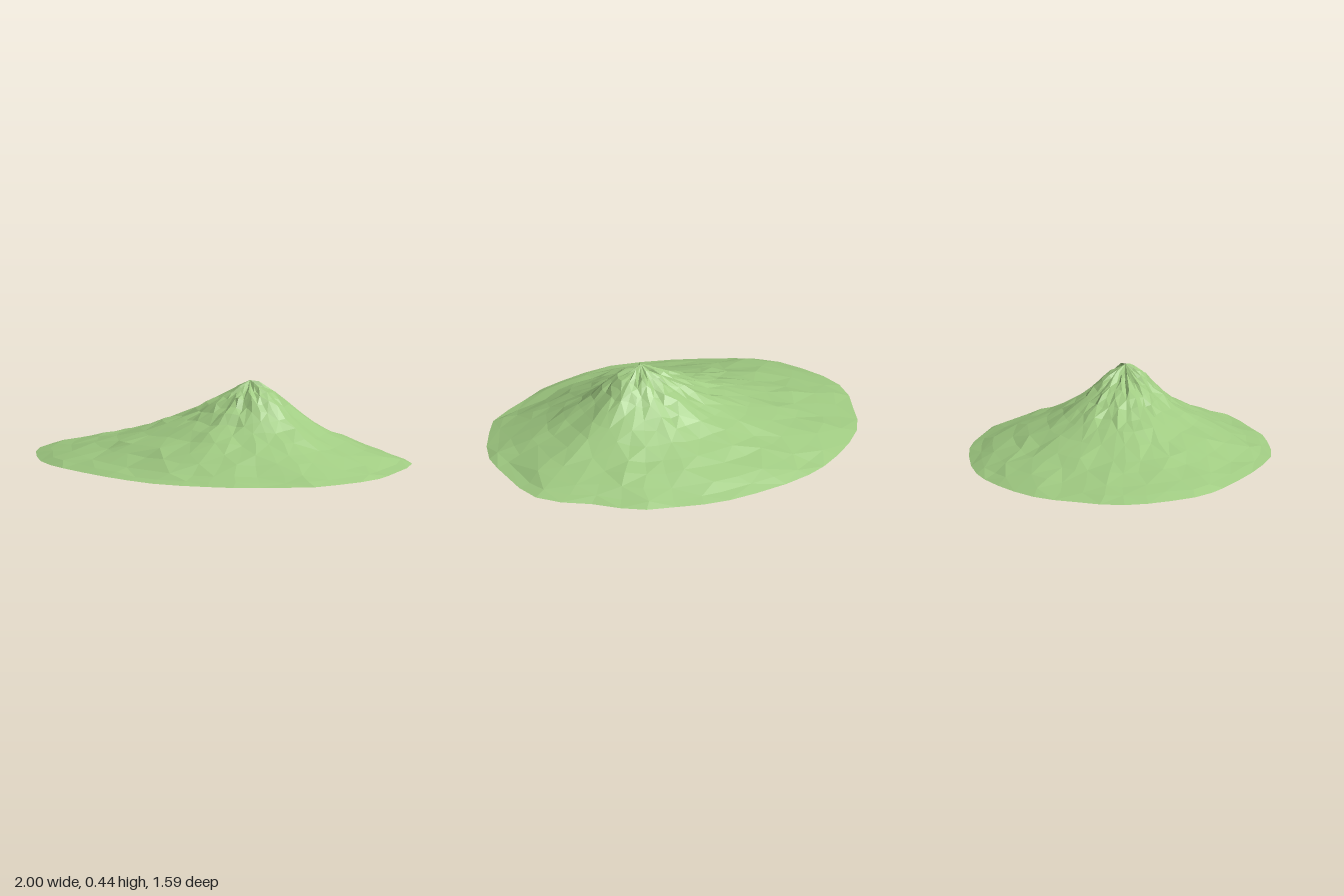
import * as THREE from 'three';

// Ground outline as x, z pairs, running from +x towards +z
const RIM = [
  [1, 0], [1, 0.11], [0.96, 0.24], [0.89, 0.37], [0.82, 0.48], [0.7, 0.56], [0.57, 0.63], [0.45, 0.7],
  [0.32, 0.74], [0.17, 0.775], [0.02, 0.79], [-0.14, 0.765], [-0.3, 0.725], [-0.46, 0.67], [-0.61, 0.61],
  [-0.71, 0.56], [-0.81, 0.48], [-0.89, 0.37], [-0.96, 0.25], [-1, 0.13], [-1, 0], [-0.97, -0.12],
  [-0.94, -0.25], [-0.89, -0.36], [-0.8, -0.47], [-0.69, -0.57], [-0.58, -0.65], [-0.47, -0.705],
  [-0.32, -0.75], [-0.14, -0.78], [0.02, -0.795], [0.16, -0.785], [0.3, -0.755], [0.46, -0.72],
  [0.58, -0.65], [0.7, -0.55], [0.84, -0.47], [0.94, -0.37], [0.98, -0.24],
];
const PEAK = { x: 0.18, y: 0.44, z: 0.01 };

// Fraction of the way from peak to rim, and the slope heights along the four axes
const STEPS = [0.05, 0.1, 0.15, 0.2, 0.25, 0.32, 0.4, 0.5, 0.62, 0.72, 0.84, 0.93, 1];
const SLOPES = {
  right: [0.43, 0.415, 0.4, 0.37, 0.33, 0.275, 0.225, 0.175, 0.125, 0.09, 0.05, 0.02, 0],
  front: [0.42, 0.39, 0.365, 0.32, 0.29, 0.24, 0.205, 0.165, 0.125, 0.085, 0.037, 0.015, 0],
  left: [0.41, 0.375, 0.345, 0.32, 0.28, 0.24, 0.208, 0.16, 0.115, 0.085, 0.05, 0.025, 0],
  back: [0.425, 0.395, 0.365, 0.33, 0.29, 0.25, 0.215, 0.17, 0.125, 0.095, 0.055, 0.025, 0],
};

function seeded(seed) {
  return () => {
    seed = (seed * 16807) % 2147483647;
    return seed / 2147483647 - 0.5;
  };
}

function hillGeometry() {
  const random = seeded(71);
  const n = RIM.length;
  const positions = [PEAK.x, PEAK.y, PEAK.z];
  const indices = [];

  // Rings of vertices, blended between the slopes and slightly roughened
  STEPS.forEach((t, ring) => {
    RIM.forEach(([rx, rz], i) => {
      const dx = rx - PEAK.x, dz = rz - PEAK.z;
      const c = dx / Math.hypot(dx, dz);
      const alongX = (dx > 0 ? SLOPES.right : SLOPES.left)[ring];
      const alongZ = (dz > 0 ? SLOPES.front : SLOPES.back)[ring];
      const rough = t < 1 ? 1 : 0;
      const s = t + rough * random() * 0.022;
      const twist = rough * random() * 0.05;
      const gullies = 1 - 0.02 * rough * (1 + Math.sin(i * 1.7 + ring * 0.3));
      const y = (alongX * c * c + alongZ * (1 - c * c)) * gullies + rough * random() * 0.012;
      positions.push(PEAK.x + dx * s - dz * twist * t, y, PEAK.z + dz * s + dx * twist * t);
    });
  });

  // Cap fan, then quads with alternating diagonals
  for (let i = 0; i < n; i++) {
    const j = (i + 1) % n;
    indices.push(0, 1 + j, 1 + i);
    for (let r = 0; r < STEPS.length - 1; r++) {
      const a = 1 + r * n + i, b = 1 + r * n + j;
      const c = a + n, d = b + n;
      if ((i + r) % 2) indices.push(a, b, c, b, d, c);
      else indices.push(a, d, c, a, b, d);
    }
  }

  const geometry = new THREE.BufferGeometry();
  geometry.setAttribute('position', new THREE.Float32BufferAttribute(positions, 3));
  geometry.setIndex(indices);
  geometry.computeVertexNormals();
  return geometry;
}

export function createModel() {
  const group = new THREE.Group();
  group.name = 'hill';
  // Open shell, visible from below as well
  const grass = new THREE.MeshStandardMaterial({ color: 0xa0cb82, flatShading: true, side: THREE.DoubleSide });
  const slope = new THREE.Mesh(hillGeometry(), grass);
  slope.name = 'hillSurface';
  group.add(slope);
  return group;
}
